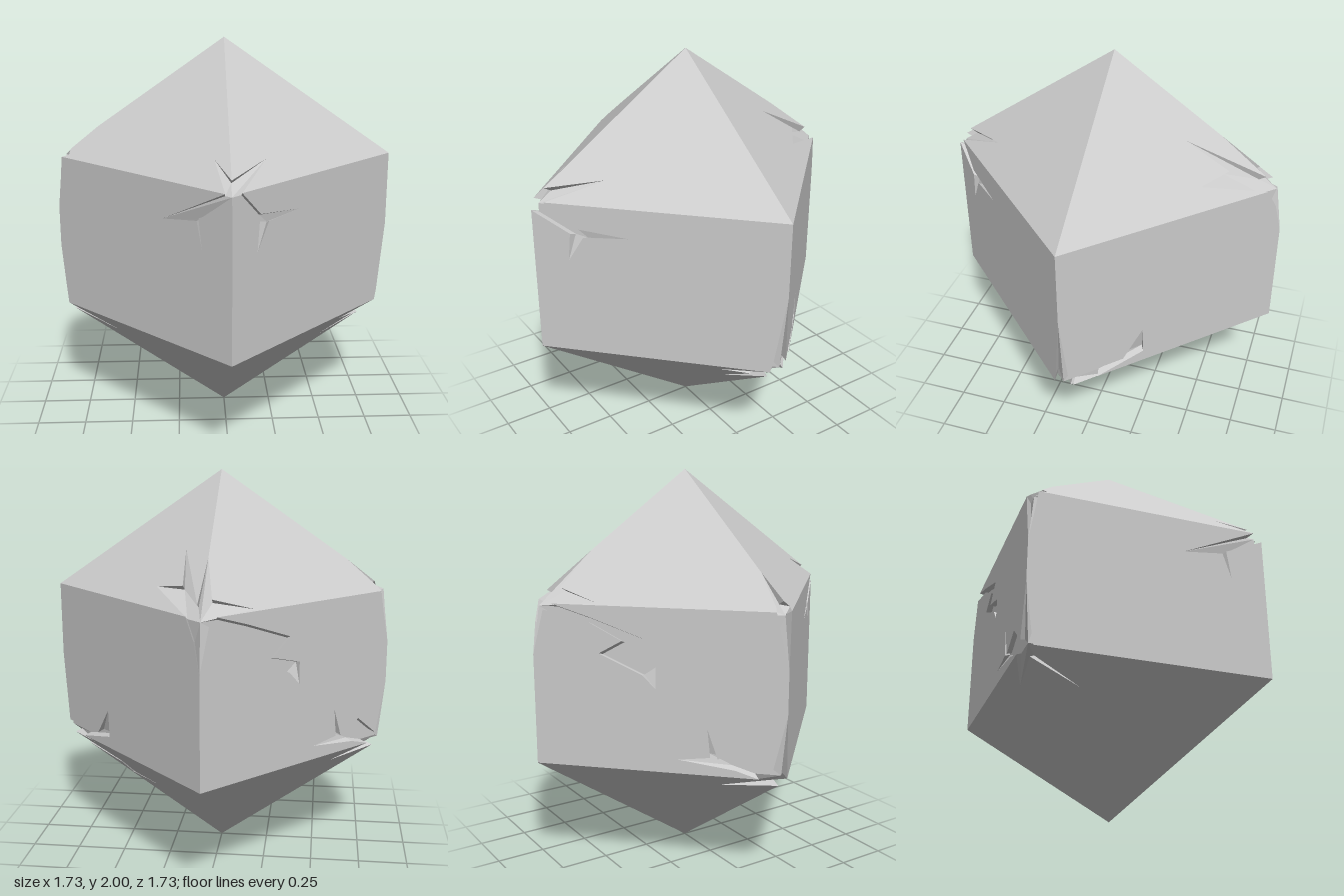
import * as THREE from 'three';

const R = 0.865, LOW = 0.6, HIGH = 1.4, DEPTH = 0.045;
const AXES = [[0, 1], [1, 0], [0, -1], [-1, 0]]; // x,z of the corners: front, left, back, right

// Cracks by corner. Each path runs from the upright edge to the level edge as
// [distance from corner edge, height, 0 for a tapered tip]. "next" and "prev" are the two sides.
const CRACKS = {
  '0 top': {
    cap: {
      next: [[0, 1.45], [0.17, 1.495, 0], [0.045, 1.4]],
      prev: [[0, 1.45], [0.07, 1.51, 0], [0.03, 1.4]],
    },
    belt: {
      next: [[0, 1.355], [0.13, 1.25], [0.12, 1.105, 0], [0.175, 1.235], [0.33, 1.25, 0], [0.135, 1.28], [0.045, 1.4]],
      prev: [[0, 1.355], [0.145, 1.26], [0.13, 1.11, 0], [0.16, 1.245], [0.31, 1.215, 0], [0.03, 1.4]],
    },
  },
  '1 bottom': {
    cap: {
      next: [[0, 0.51], [0.105, 0.445], [0.03, 0.36], [0.22, 0.365, 0], [0.075, 0.375], [0.14, 0.455],
        [0.05, 0.56], [0.04, 0.585], [0.165, 0.575, 0], [0.14, 0.6]],
      prev: [[0, 0.51], [0.115, 0.43, 0], [0.07, 0.53], [0.195, 0.55, 0], [0.05, 0.6]],
    },
    belt: {
      next: [[0, 1.02, 0], [0.03, 0.65], [0.24, 0.655], [0.315, 0.8, 0], [0.32, 0.66], [0.14, 0.6]],
      prev: [[0, 1.02, 0], [0.04, 0.65], [0.05, 0.6]],
    },
  },
  '2 top': {
    cap: {
      next: [[0, 1.625, 0], [0.04, 1.466], [0.225, 1.407, 0], [0.07, 1.4]],
      prev: [[0, 1.625, 0], [0.02, 1.45], [0.125, 1.643, 0], [0.11, 1.504], [0.25, 1.48, 0], [0.07, 1.4]],
    },
    belt: {
      next: [[0, 1.15, 0], [0.04, 1.37], [0.195, 1.32], [0.31, 1.235], [0.23, 1.17], [0.38, 1.075], [0.425, 1.01, 0],
        [0.425, 1.12], [0.305, 1.165], [0.38, 1.253], [0.195, 1.345], [0.07, 1.4]],
      prev: [[0, 1.15, 0], [0.03, 1.3], [0.07, 1.4]],
    },
  },
  '3 top': {
    cap: {
      next: [[0, 1.553, 0], [0.02, 1.44], [0.05, 1.414, 0], [0.03, 1.4]],
      prev: [[0, 1.553, 0], [0.035, 1.42], [0.045, 1.4]],
    },
    belt: {
      next: [[0, 1.13, 0], [0.02, 1.3], [0.03, 1.4]],
      prev: [[0, 1.13, 0], [0.03, 1.3], [0.045, 1.4]],
    },
  },
  '3 bottom': {
    cap: {
      next: [[0, 0.56], [0.127, 0.48, 0], [0.03, 0.6]],
      prev: [[0, 0.56], [0.18, 0.53, 0], [0.09, 0.6]],
    },
    belt: {
      next: [[0, 0.92, 0], [0.02, 0.7], [0.03, 0.6]],
      prev: [[0, 0.92, 0], [0.045, 0.645], [0.14, 0.75], [0.23, 0.685], [0.265, 0.83, 0], [0.255, 0.69],
        [0.365, 0.67, 0], [0.17, 0.635], [0.09, 0.6]],
    },
  },
};

// Width of the square cross-section at a height
const reach = (y) => R * Math.min(1, y / LOW, (2 - y) / (2 - HIGH));

// Place a point [u, y, deep] of one quadrant, optionally sunk towards the centre
function place(q, [u, y, deep = 1], sunk = false) {
  const a = AXES[q], b = AXES[(q + 1) % 4], v = reach(y) - u;
  const p = new THREE.Vector3(a[0] * v + b[0] * u, y - 1, a[1] * v + b[1] * u);
  if (sunk) p.multiplyScalar(1 - DEPTH * deep);
  p.y += 1;
  return p;
}

// Triangle facing away from the middle of the crystal
function addOutward(out, a, b, c) {
  const n = b.clone().sub(a).cross(c.clone().sub(a));
  const mid = a.clone().add(b).add(c).divideScalar(3);
  mid.y -= 1;
  out.push(...(n.dot(mid) >= 0 ? [a, b, c] : [a, c, b]));
}

function addPolygon(out, q, points, sunk) {
  const flat = points.map(([u, y]) => new THREE.Vector2(u, y));
  const pts = points.map((p) => place(q, p, sunk));
  for (const [i, j, k] of THREE.ShapeUtils.triangulateShape(flat, [])) addOutward(out, pts[i], pts[j], pts[k]);
}

function addWalls(out, q, path) {
  for (let i = 0; i + 1 < path.length; i++) {
    const [a, b] = [place(q, path[i]), place(q, path[i + 1])];
    const [c, d] = [place(q, path[i], true), place(q, path[i + 1], true)];
    out.push(a, b, d, a, d, c);
  }
}

function makeMesh(name, points) {
  const geometry = new THREE.BufferGeometry().setFromPoints(points);
  geometry.computeVertexNormals();
  const mesh = new THREE.Mesh(geometry, new THREE.MeshStandardMaterial({
    color: 0xcccccc, flatShading: true, side: THREE.DoubleSide,
  }));
  mesh.name = name;
  return mesh;
}

export function createModel() {
  const group = new THREE.Group();
  group.name = 'crackedCrystal';
  const faces = { topFacets: [], beltFacets: [], bottomFacets: [] };
  const grooves = [];

  for (let q = 0; q < 4; q++) {
    // Outline of one facet corner, cutting the crack groove there if there is one
    const corner = (level, band, side) => {
      const y = level === 'top' ? HIGH : LOW;
      const axis = side === 'next' ? q : (q + 1) % 4;
      const toFace = ([t, h, deep]) => [side === 'next' ? t : reach(h) - t, h, deep];
      const crack = CRACKS[`${axis} ${level}`];
      if (!crack) return [toFace([0, y])];
      const path = crack[band][side].map(toFace);
      addPolygon(grooves, q, [...path, toFace([0, y])], true);
      addWalls(grooves, q, path);
      return path;
    };
    // Sloping facets
    for (const [level, apex] of [['top', 2], ['bottom', 0]]) {
      addPolygon(faces[`${level}Facets`], q,
        [[0, apex], ...corner(level, 'cap', 'next'), ...corner(level, 'cap', 'prev').reverse()]);
    }
    // Upright facet
    addPolygon(faces.beltFacets, q, [
      ...corner('top', 'belt', 'next'), ...corner('top', 'belt', 'prev').reverse(),
      ...corner('bottom', 'belt', 'prev'), ...corner('bottom', 'belt', 'next').reverse(),
    ]);
  }
  for (const name in faces) group.add(makeMesh(name, faces[name]));
  group.add(makeMesh('crackGrooves', grooves));
  return group;
}
